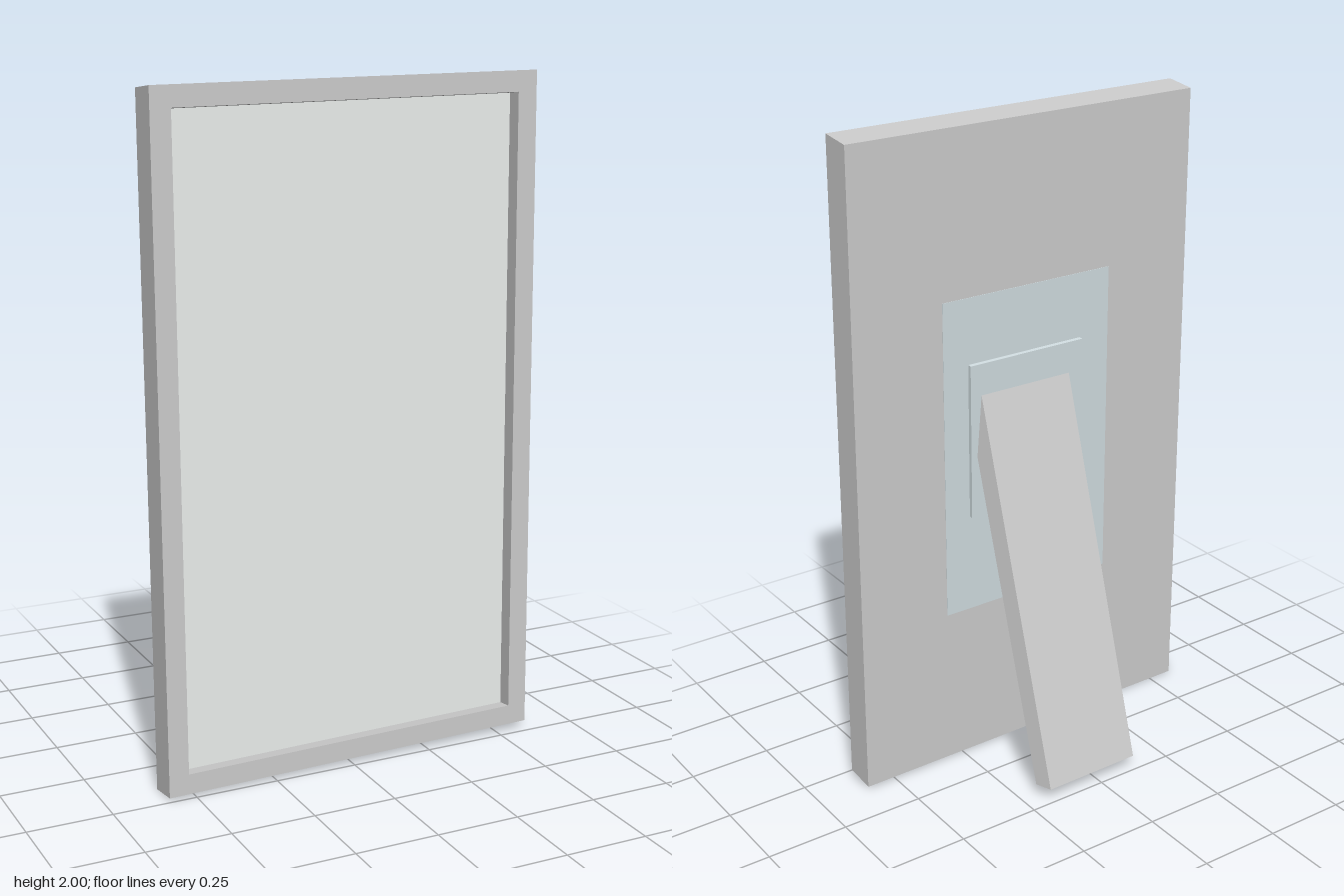
import * as THREE from 'three';

const W = 1.18, H = 1.977, D = 0.095, BORDER = 0.06, RECESS = 0.045;

// Slightly skewed axes shared by the frame and everything mounted on it
const skew = new THREE.Matrix4().makeBasis(
  new THREE.Vector3(1, 0.008, -0.0195),
  new THREE.Vector3(-0.0085, 1, -0.002),
  new THREE.Vector3(0.02, 0.12, 1)
).setPosition(0, 1, 0.186);

function part(name, geometry, color = 0xcccccc) {
  const mesh = new THREE.Mesh(geometry, new THREE.MeshStandardMaterial({ color, flatShading: true }));
  mesh.name = name;
  return mesh;
}

// Box given in frame coordinates, then skewed with the frame
function mounted(name, size, position, color) {
  const geometry = new THREE.BoxGeometry(...size).translate(...position).applyMatrix4(skew);
  return part(name, geometry, color);
}

function rectangle(Type, w, h) {
  const path = new Type();
  path.moveTo(-w / 2, -h / 2);
  path.lineTo(w / 2, -h / 2);
  path.lineTo(w / 2, h / 2);
  path.lineTo(-w / 2, h / 2);
  path.closePath();
  return path;
}

export function createModel() {
  const model = new THREE.Group();
  model.name = 'standingPictureFrame';

  // Border with a rectangular opening
  const innerW = W - 2 * BORDER, innerH = H - 2 * BORDER;
  const outline = rectangle(THREE.Shape, W, H);
  outline.holes.push(rectangle(THREE.Path, innerW, innerH));
  const border = new THREE.ExtrudeGeometry(outline, { depth: D, bevelEnabled: false });
  model.add(part('frameBorder', border.translate(0, 0, -D / 2).applyMatrix4(skew)));

  // Backing board flush with the back, and the pale sheet in the recess
  const sheet = 0.008, board = D - RECESS - sheet;
  model.add(mounted('backingBoard', [innerW, innerH, board], [0, 0, -D / 2 + board / 2]));
  model.add(mounted('picturePanel', [innerW, innerH, sheet], [0, 0, D / 2 - RECESS - sheet / 2], 0xeaeeec));

  // Tinted patch and raised mounting plate on the back
  model.add(mounted('backPatch', [W / 2, H / 2, 0.002], [0, 0, -D / 2], 0xd0dce0));
  model.add(mounted('mountingPlate', [0.4, 0.48, 0.013], [0.01, 0.053, -D / 2 - 0.0065], 0xd0dce0));

  // Leaning leg: side profile in (z, y) swept across the width
  const profile = [[0.125, 1.2], [-0.245, 0.045], [-0.19, 0.04], [0.125, 1.01]];
  const side = new THREE.Shape(profile.map(([z, y]) => new THREE.Vector2(-z, y)));
  const leg = new THREE.ExtrudeGeometry(side, { depth: 0.315, bevelEnabled: false });
  leg.rotateY(Math.PI / 2);
  // Skew sideways so the foot drifts toward the left
  const p = leg.attributes.position;
  for (let i = 0; i < p.count; i++) {
    const x = p.getX(i) - 0.315, y = p.getY(i), z = p.getZ(i);
    p.setXYZ(i, x + 0.17 - 0.094 * (y - 1.2) + 0.25 * (z - 0.125), y + 0.008 * x, z - 0.0195 * x);
  }
  leg.computeVertexNormals();
  model.add(part('supportLeg', leg));

  return model;
}
